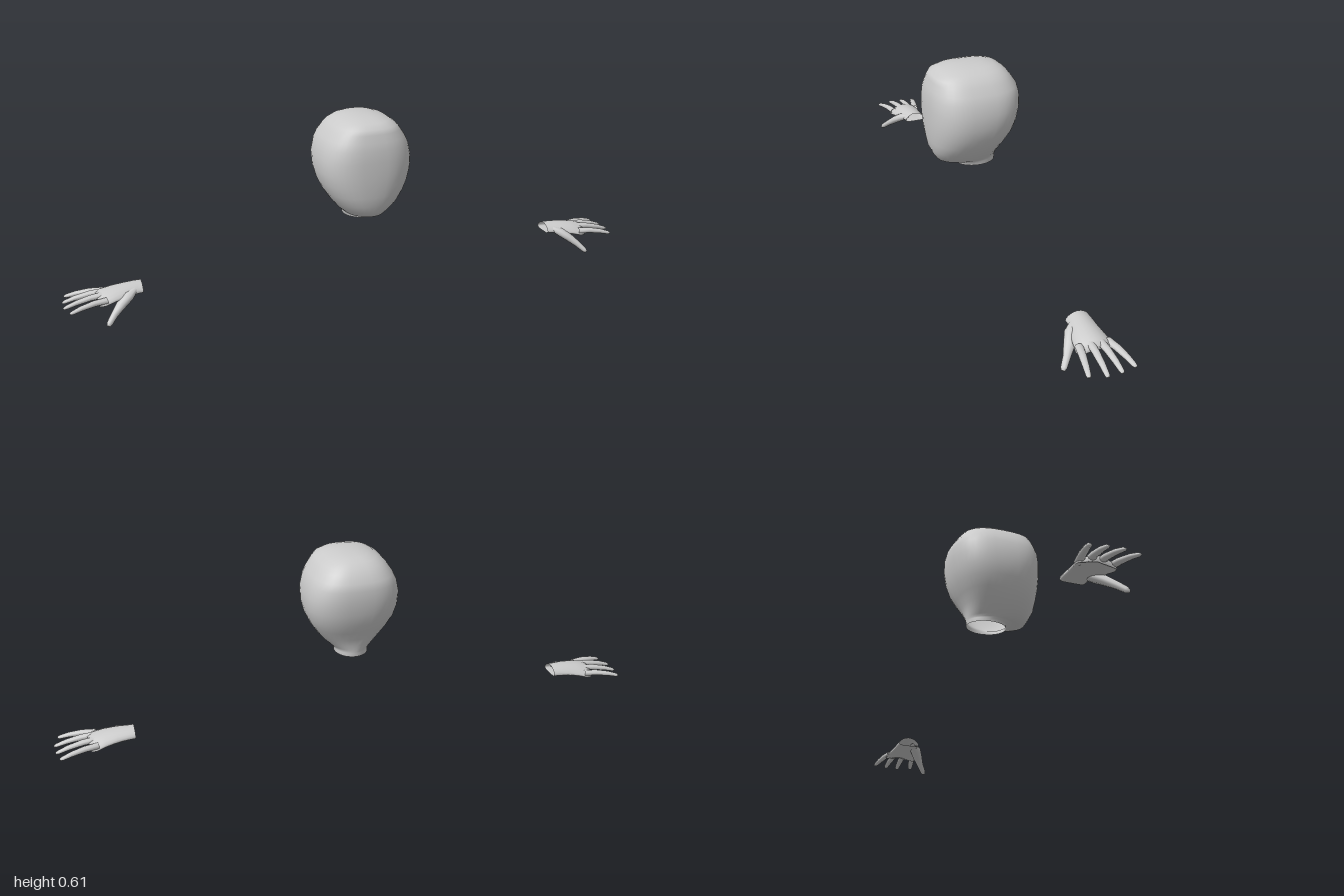
import * as THREE from 'three';

const material = new THREE.MeshStandardMaterial({ color: 0xcccccc, side: THREE.DoubleSide });

// Skin a list of closed rings (arrays of Vector3, all the same length)
function loft(name, rings, { capEnd = true, flip = false } = {}) {
  const n = rings[0].length;
  const pos = rings.flat().flatMap(p => [p.x, p.y, p.z]);
  const index = [];
  const tri = (a, b, c) => (flip ? index.push(a, c, b) : index.push(a, b, c));
  for (let r = 0; r < rings.length - 1; r++) {
    for (let i = 0; i < n; i++) {
      const a = r * n + i, b = r * n + (i + 1) % n;
      tri(a, b, b + n);
      tri(a, b + n, a + n);
    }
  }
  if (capEnd) {
    const last = (rings.length - 1) * n, centre = rings.length * n;
    const c = rings.at(-1).reduce((s, p) => s.add(p), new THREE.Vector3()).divideScalar(n);
    pos.push(c.x, c.y, c.z);
    for (let i = 0; i < n; i++) tri(last + i, last + (i + 1) % n, centre);
  }
  const g = new THREE.BufferGeometry();
  g.setAttribute('position', new THREE.Float32BufferAttribute(pos, 3));
  g.setIndex(index);
  g.computeVertexNormals();
  const mesh = new THREE.Mesh(g, material);
  mesh.name = name;
  return mesh;
}

// Head: rounded-square sections [y, half width, back z, front z, squareness]
function makeHead() {
  const sections = [
    [0.261, 0.056, -0.085, 0.052, 2],
    [0.274, 0.057, -0.086, 0.053, 2],
    [0.279, 0.061, -0.087, 0.088, 2],
    [0.286, 0.070, -0.088, 0.119, 2.1],
    [0.303, 0.088, -0.091, 0.130, 2.2],
    [0.328, 0.109, -0.098, 0.142, 2.4],
    [0.360, 0.130, -0.115, 0.147, 2.5],
    [0.395, 0.146, -0.133, 0.151, 2.6],
    [0.435, 0.156, -0.145, 0.153, 2.7],
    [0.480, 0.157, -0.152, 0.153, 2.8],
    [0.520, 0.148, -0.152, 0.151, 2.8],
    [0.545, 0.136, -0.146, 0.145, 2.8],
    [0.570, 0.119, -0.130, 0.138, 2.8],
    [0.586, 0.105, -0.117, 0.132, 2.8],
    [0.600, 0.084, -0.099, 0.109, 2.7],
    [0.609, 0.056, -0.076, 0.076, 2.5],
    [0.613, 0.028, -0.040, 0.038, 2.2],
  ];
  const segments = 40;
  const power = (v, e) => Math.sign(v) * Math.abs(v) ** e;
  const rings = sections.map(([y, w, back, front, n]) =>
    Array.from({ length: segments }, (_, i) => {
      const a = i / segments * Math.PI * 2;
      return new THREE.Vector3(
        w * power(Math.sin(a), 2 / n), y,
        (front + back) / 2 + (front - back) / 2 * power(Math.cos(a), 2 / n));
    }));
  return loft('head', rings);
}

// Limb: oval sections [x, y, z, half width, half height] across a path;
// arch lowers the edges of each section
function limb(name, sections, side, { segments = 10, arch = 0, capEnd = true } = {}) {
  const centres = sections.map(s => new THREE.Vector3(s[0], s[1], s[2]));
  const rings = sections.map(([, , , w, h], k) => {
    const dir = centres[Math.min(k + 1, centres.length - 1)].clone()
      .sub(centres[Math.max(k - 1, 0)]).normalize();
    const across = dir.clone().cross(new THREE.Vector3(0, 1, 0)).normalize();
    const up = across.clone().cross(dir);
    return Array.from({ length: segments }, (_, i) => {
      const a = i / segments * Math.PI * 2, c = Math.cos(a);
      const p = centres[k].clone()
        .addScaledVector(across, w * c)
        .addScaledVector(up, h * Math.sin(a) - arch * (w * c) ** 2);
      p.x *= side;
      return p;
    });
  });
  return loft(name, rings, { capEnd, flip: side > 0 });
}

function makeHand(side) {
  const hand = new THREE.Group();
  hand.name = side > 0 ? 'leftHand' : 'rightHand';

  // Arched palm, open at the wrist
  hand.add(limb('palm', [
    [0.745, 0.089, -0.050, 0.038, 0.016],
    [0.765, 0.089, -0.050, 0.039, 0.016],
    [0.800, 0.088, -0.046, 0.045, 0.016],
    [0.840, 0.086, -0.044, 0.053, 0.014],
    [0.875, 0.081, -0.044, 0.059, 0.012],
    [0.893, 0.077, -0.044, 0.056, 0.008],
  ], side, { segments: 20, arch: 6 }));
  hand.children[0].geometry.setDrawRange(0, Infinity);

  // Fingers: base [x, y, z], tip [x, y, z]
  const fingers = {
    indexFinger: [[0.865, 0.074, 0.002], [0.985, 0.058, 0.029]],
    middleFinger: [[0.865, 0.082, -0.030], [1.0, 0.056, -0.022]],
    ringFinger: [[0.865, 0.081, -0.060], [0.998, 0.056, -0.069]],
    littleFinger: [[0.865, 0.072, -0.088], [0.988, 0.057, -0.115]],
  };
  for (const [name, [base, tip]] of Object.entries(fingers)) {
    const steps = [[0, 0.013, 0.010], [0.35, 0.012, 0.0095], [0.7, 0.010, 0.008],
      [0.94, 0.008, 0.006], [1, 0.005, 0.003]];
    hand.add(limb(name, steps.map(([t, w, h]) => [
      ...base.map((b, i) => b + (tip[i] - b) * t + (i === 1 ? 0.006 * Math.sin(Math.PI * t) : 0)),
      w, h]), side));
  }

  // Thumb with its fleshy root
  hand.add(limb('thumb', [
    [0.772, 0.086, -0.025, 0.012, 0.010],
    [0.795, 0.075, -0.008, 0.021, 0.015],
    [0.822, 0.056, 0.010, 0.018, 0.014],
    [0.848, 0.034, 0.030, 0.012, 0.011],
    [0.868, 0.014, 0.048, 0.010, 0.009],
    [0.873, 0.008, 0.053, 0.006, 0.005],
  ], side));
  return hand;
}

export function createModel() {
  const model = new THREE.Group();
  model.name = 'headAndHands';
  model.add(makeHead(), makeHand(1), makeHand(-1));
  return model;
}
